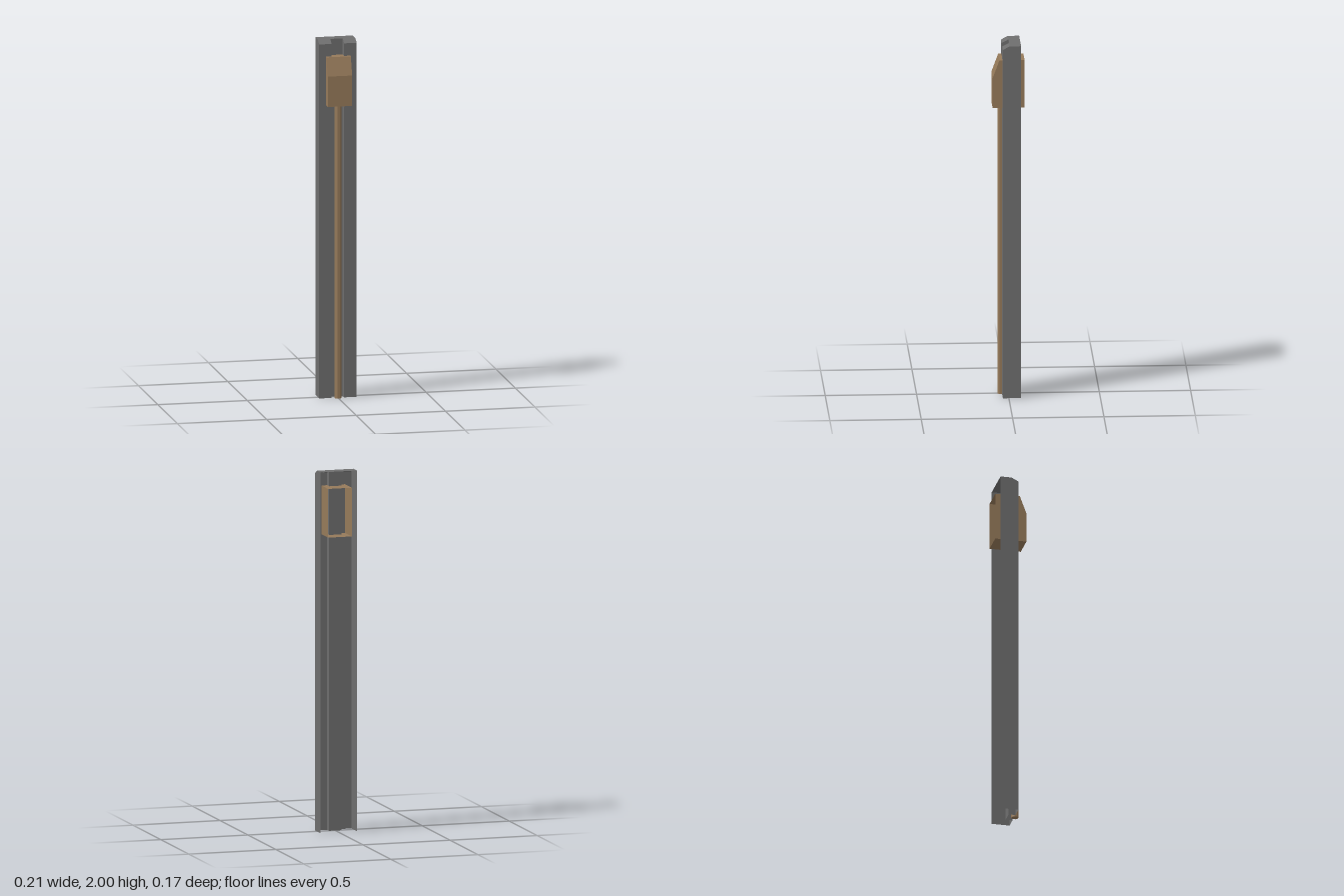
import * as THREE from 'three';

const postGrey = new THREE.MeshStandardMaterial({ color: 0x6e6e6e, side: THREE.DoubleSide, flatShading: true });
postGrey.name = 'postGrey';
const lampBrown = new THREE.MeshStandardMaterial({ color: 0x967a5a, side: THREE.DoubleSide, flatShading: true });
lampBrown.name = 'lampBrown';

// Flat-faced sheet mesh from convex polygons, each a list of [x, y, z] corners
function sheetMesh(name, polygons, material) {
  const positions = [];
  for (const p of polygons) {
    for (let i = 1; i < p.length - 1; i++) positions.push(...p[0], ...p[i], ...p[i + 1]);
  }
  const geometry = new THREE.BufferGeometry();
  geometry.setAttribute('position', new THREE.Float32BufferAttribute(positions, 3));
  geometry.computeVertexNormals();
  const mesh = new THREE.Mesh(geometry, material);
  mesh.name = name;
  return mesh;
}

// Post: thin channel shell with a front groove, open at the back and underneath
function buildPost() {
  const w = 0.105, g = 0.035, back = -0.067, mid = -0.005, front = 0.033;
  const top = (z) => (z > mid ? 2 - 0.02 * (z - mid) / (front - mid) : 2);
  const path = [
    [-w, back], [-w, mid], [-w, front], [-g, front], [-g, mid],
    [g, mid], [g, front], [w, front], [w, mid], [w, back],
  ];
  const walls = [];
  for (let i = 0; i < path.length - 1; i++) {
    const [ax, az] = path[i], [bx, bz] = path[i + 1];
    walls.push([[ax, 0, az], [bx, 0, bz], [bx, top(bz), bz], [ax, top(az), az]]);
  }
  // Flat roof and the two sloped front lips
  const roofPiece = (x0, x1, z0, z1) => [
    [x0, top(z1), z1], [x1, top(z1), z1], [x1, top(z0), z0], [x0, top(z0), z0],
  ];
  const roof = [
    roofPiece(-w, w, back, mid),
    roofPiece(-w, -g, mid, front),
    roofPiece(g, w, mid, front),
  ];
  const group = new THREE.Group();
  group.name = 'post';
  group.add(sheetMesh('postWalls', walls, postGrey), sheetMesh('postRoof', roof, postGrey));
  return group;
}

// Lamp housing: box with a sloped upper front, passing through the post, open at the back
function buildHousing() {
  const w = 0.068;
  const outline = [[-0.088, 1.64], [0.087, 1.64], [0.087, 1.81], [0.05, 1.91], [-0.088, 1.91]];
  const faces = [];
  for (let i = 0; i < outline.length - 1; i++) {
    const [az, ay] = outline[i], [bz, by] = outline[i + 1];
    faces.push([[-w, ay, az], [w, ay, az], [w, by, bz], [-w, by, bz]]);
  }
  faces.push(outline.map(([z, y]) => [-w, y, z]));
  faces.push(outline.map(([z, y]) => [w, y, z]).reverse());
  return sheetMesh('lampHousing', faces, lampBrown);
}

export function createModel() {
  const model = new THREE.Group();
  model.name = 'lampPost';
  model.add(buildPost(), buildHousing());

  // Conduit running up the groove to the housing
  const conduit = new THREE.Mesh(
    new THREE.CylinderGeometry(0.02, 0.02, 1.64, 8).rotateY(Math.PI / 8),
    lampBrown,
  );
  conduit.name = 'conduit';
  conduit.position.set(0, 0.82, 0.038);
  model.add(conduit);
  return model;
}
